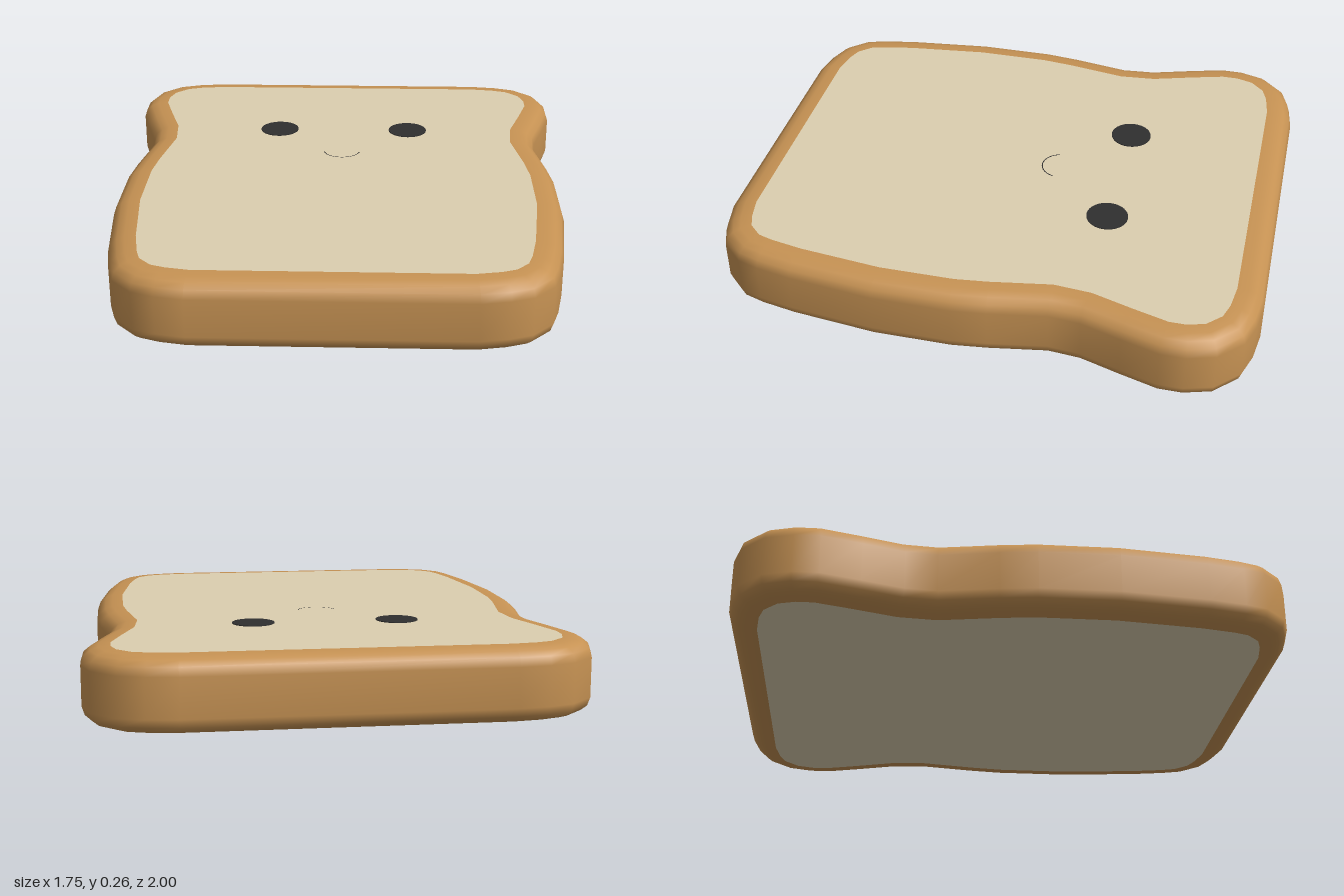
import * as THREE from 'three';

const crustMat = new THREE.MeshStandardMaterial({ color: 0xc69253 });
crustMat.name = 'crustBrown';
const breadMat = new THREE.MeshStandardMaterial({ color: 0xdccfb0 });
breadMat.name = 'breadCream';
const faceMat = new THREE.MeshStandardMaterial({ color: 0x2f2f2f });
faceMat.name = 'faceCharcoal';

const HEIGHT = 0.26;
const RIM = 0.1; // width of crust seen from above

// Left half of the slice outline as [x, z], from back to front
const half = [
  [0.56, -1], [0.67, -0.985], [0.76, -0.955], [0.845, -0.87], [0.875, -0.77], [0.875, -0.68],
  [0.835, -0.54], [0.79, -0.395], [0.78, -0.28], [0.815, -0.07], [0.83, 0.06], [0.83, 0.345],
  [0.795, 0.66], [0.77, 0.79], [0.745, 0.87], [0.67, 0.95], [0.59, 0.98], [0.487, 1],
];
const outline = [...half, ...half.map(([x, z]) => [-x, z]).reverse()]
  .map(([x, z]) => new THREE.Vector2(x, z));

// Outline moved inwards by d along its mitred corners
function inset(d) {
  const n = outline.length;
  const normal = (a, b) => new THREE.Vector2(b.y - a.y, a.x - b.x).normalize();
  return outline.map((p, i) => {
    const n1 = normal(outline[(i + n - 1) % n], p);
    const n2 = normal(p, outline[(i + 1) % n]);
    const miter = n1.clone().add(n2).divideScalar(1 + n1.dot(n2));
    return p.clone().addScaledVector(miter, -d);
  });
}

// Rounded crust wall, lofted through inset copies of the outline
function crustGeometry() {
  const lower = [[RIM, 0], [0.06, 0.002], [0.032, 0.012], [0.01, 0.03], [0, 0.06]];
  const profile = [...lower, ...lower.map(([d, y]) => [d, HEIGHT - y]).reverse()];
  const n = outline.length;
  const positions = [];
  const index = [];
  profile.forEach(([d, y], r) => {
    inset(d).forEach((p, i) => {
      positions.push(p.x, y, p.y);
      if (r === profile.length - 1) return;
      const a = r * n + i;
      const b = r * n + (i + 1) % n;
      index.push(a, a + n, b, b, a + n, b + n);
    });
  });
  const geo = new THREE.BufferGeometry();
  geo.setAttribute('position', new THREE.Float32BufferAttribute(positions, 3));
  geo.setIndex(index);
  geo.computeVertexNormals();
  return geo;
}

// Flat bread face, up = 1 for the top and -1 for the underside
function breadGeometry(up) {
  const shape = new THREE.Shape(inset(RIM).map((p) => new THREE.Vector2(p.x, -up * p.y)));
  return new THREE.ShapeGeometry(shape).rotateX(-up * Math.PI / 2);
}

export function createModel() {
  const model = new THREE.Group();
  model.name = 'breadSlice';
  const add = (name, geo, mat, x = 0, y = 0, z = 0) => {
    const mesh = new THREE.Mesh(geo, mat);
    mesh.name = name;
    mesh.position.set(x, y, z);
    model.add(mesh);
  };

  add('crust', crustGeometry(), crustMat);
  add('breadTop', breadGeometry(1), breadMat, 0, HEIGHT);
  add('breadUnderside', breadGeometry(-1), breadMat);

  // Eyes
  for (const [name, side] of [['leftEye', 1], ['rightEye', -1]]) {
    add(name, new THREE.CylinderGeometry(0.077, 0.077, 0.004, 32), faceMat, side * 0.264, HEIGHT + 0.001, -0.39);
  }

  // Faint smile, a hairline arc almost flush with the bread
  const smile = new THREE.RingGeometry(0.07, 0.074, 20, 1, Math.PI * 1.08, Math.PI * 0.84);
  add('smile', smile.rotateX(-Math.PI / 2), faceMat, 0, HEIGHT + 0.002, -0.16);

  return model;
}
